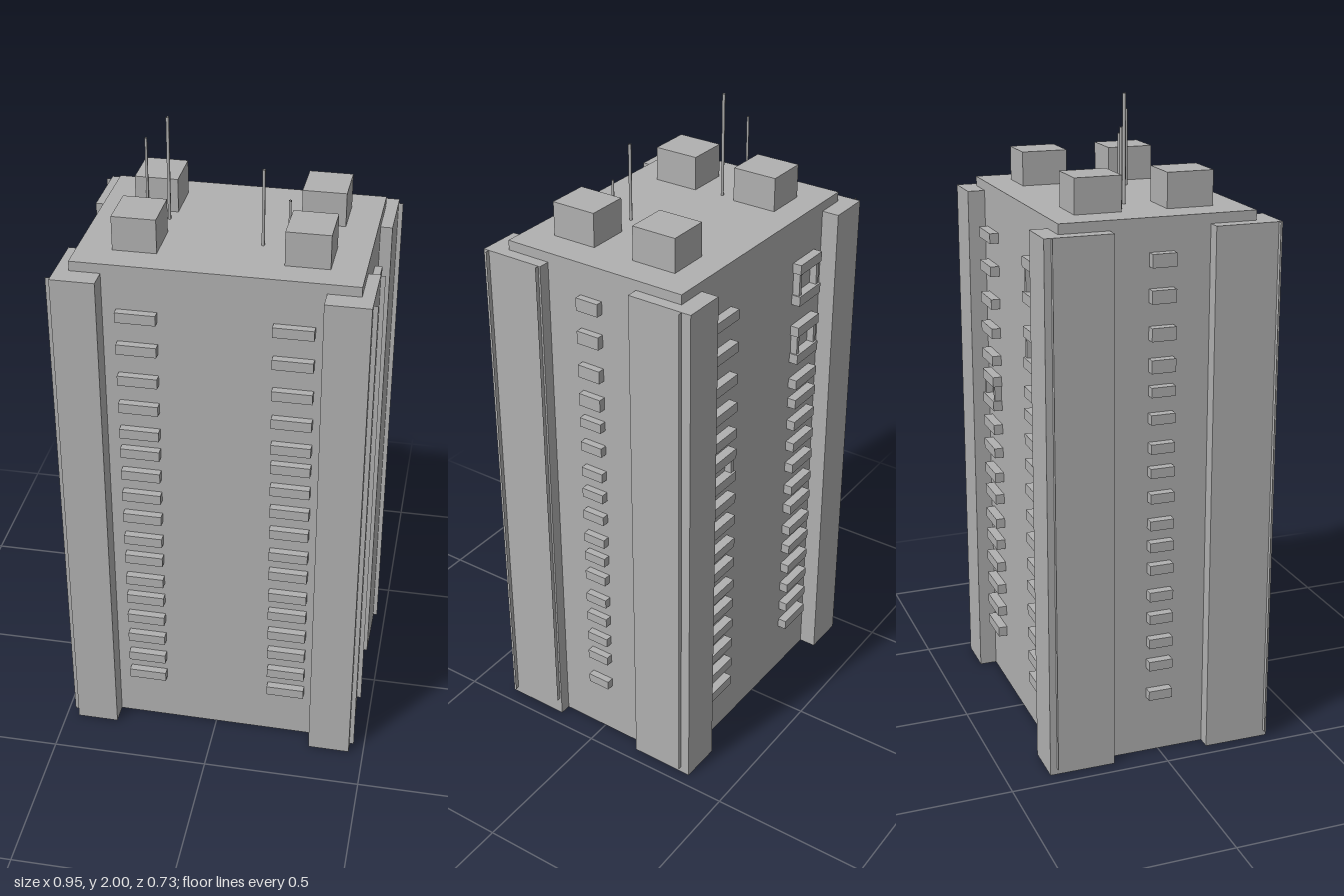
import * as THREE from 'three';

export function createModel() {
  const model = new THREE.Group();
  const tower = new THREE.Group();
  tower.name = 'tower';
  tower.rotation.y = -0.009; // the block stands very slightly skewed
  model.add(tower);

  const concrete = new THREE.MeshStandardMaterial({ color: 0xb0b0b0, side: THREE.DoubleSide });
  concrete.name = 'concreteGrey';

  const add = (name, geometry, x = 0, y = 0, z = 0, parent = tower) => {
    const mesh = new THREE.Mesh(geometry, concrete);
    mesh.name = name;
    mesh.position.set(x, y, z);
    parent.add(mesh);
    return mesh;
  };
  const box = (name, w, h, d, x, y, z, parent) =>
    add(name, new THREE.BoxGeometry(w, h, d), x, y, z, parent);

  // Main block: hollow, open underneath
  const shell = new THREE.BoxGeometry(0.836, 1.68, 0.6);
  const faces = Array.from(shell.index.array);
  faces.splice(18, 6);
  shell.setIndex(faces);
  shell.clearGroups();
  add('mainBlock', shell, 0.0025, 0.84, -0.0065);

  // L-shaped corner piers wrapped around the block
  for (const sx of [-1, 1]) {
    for (const sz of [-1, 1]) {
      const wallX = sx * 0.4175 + 0.0025;
      const wallZ = sz * 0.3 - 0.0065;
      const pts = [
        [sx * 0.3235, sz * 0.359 - 0.002], [sx * 0.4565, sz * 0.359 - 0.002],
        [sx * 0.4565, sz * 0.153 - 0.002], [wallX, sz * 0.153 - 0.002],
        [wallX, wallZ], [sx * 0.3235, wallZ],
      ].map(([x, z]) => new THREE.Vector2(x, z));
      const pier = new THREE.ExtrudeGeometry(new THREE.Shape(pts), { depth: 1.65, bevelEnabled: false });
      pier.rotateX(Math.PI / 2);
      add('cornerPier', pier, 0, 1.65, 0);
    }
  }

  // Thin upright fins on the outer sides of the piers
  for (const [side, z, bottom] of [
    [1, 0.338, 0.02], [1, 0.157, 0.06], [1, -0.332, 0.02], [-1, 0.345, 0.02], [-1, -0.34, 0.02],
  ]) {
    const h = 1.65 - bottom;
    add('pierFin', new THREE.PlaneGeometry(0.015, h), side * 0.463, bottom + h / 2, z);
  }

  // Balconies on the front and back
  const rows = [1.525, 1.42, 1.315, 1.22, 1.13, 1.06, 0.98, 0.9, 0.82, 0.735, 0.66, 0.575, 0.5, 0.42, 0.34, 0.26, 0.185];
  const columns = [-0.222, 0.235];
  for (const x of columns) {
    for (const y of rows) {
      box('frontBalcony', 0.12, 0.032, 0.028, x, y, 0.304);
      box('backBalcony', 0.12, 0.032, 0.032, x, y, -0.319);
    }
  }

  // Posts joining some of the back balconies
  for (const [x, row] of [[columns[0], 0], [columns[0], 2], [columns[1], 5]]) {
    for (const s of [-1, 1]) {
      const h = rows[row] - rows[row + 1];
      box('balconyPost', 0.013, h, 0.024, x + s * 0.049, (rows[row] + rows[row + 1]) / 2, -0.317);
    }
  }

  // Balconies on the narrow sides
  const sideRows = [1.56, 1.455, 1.345, 1.25, 1.173, 1.09, 1.0, 0.925, 0.845, 0.76, 0.69, 0.617, 0.53, 0.455, 0.375, 0.3, 0.2];
  for (const s of [-1, 1]) {
    sideRows.forEach((y, i) =>
      box('sideBalcony', 0.03, i < 4 ? 0.04 : 0.03, 0.075, s * 0.428, y, 0.001));
  }

  // Roof housings
  for (const [x, z] of [[-0.245, -0.152], [0.26, -0.147], [-0.246, 0.13], [0.255, 0.134]]) {
    box('roofHousing', 0.131, 0.107, 0.143, x, 1.7315, z);
  }

  // Roof masts, open tubes
  for (const [x, z, top, r] of [
    [-0.27, -0.068, 1.915, 0.004], [-0.195, -0.03, 2.0, 0.005],
    [0.108, 0.09, 1.915, 0.005], [0.185, 0.095, 1.83, 0.004],
  ]) {
    const h = top - 1.68;
    add('mast', new THREE.CylinderGeometry(r, r, h, 6, 1, true), x, 1.68 + h / 2, z);
  }

  return model;
}
